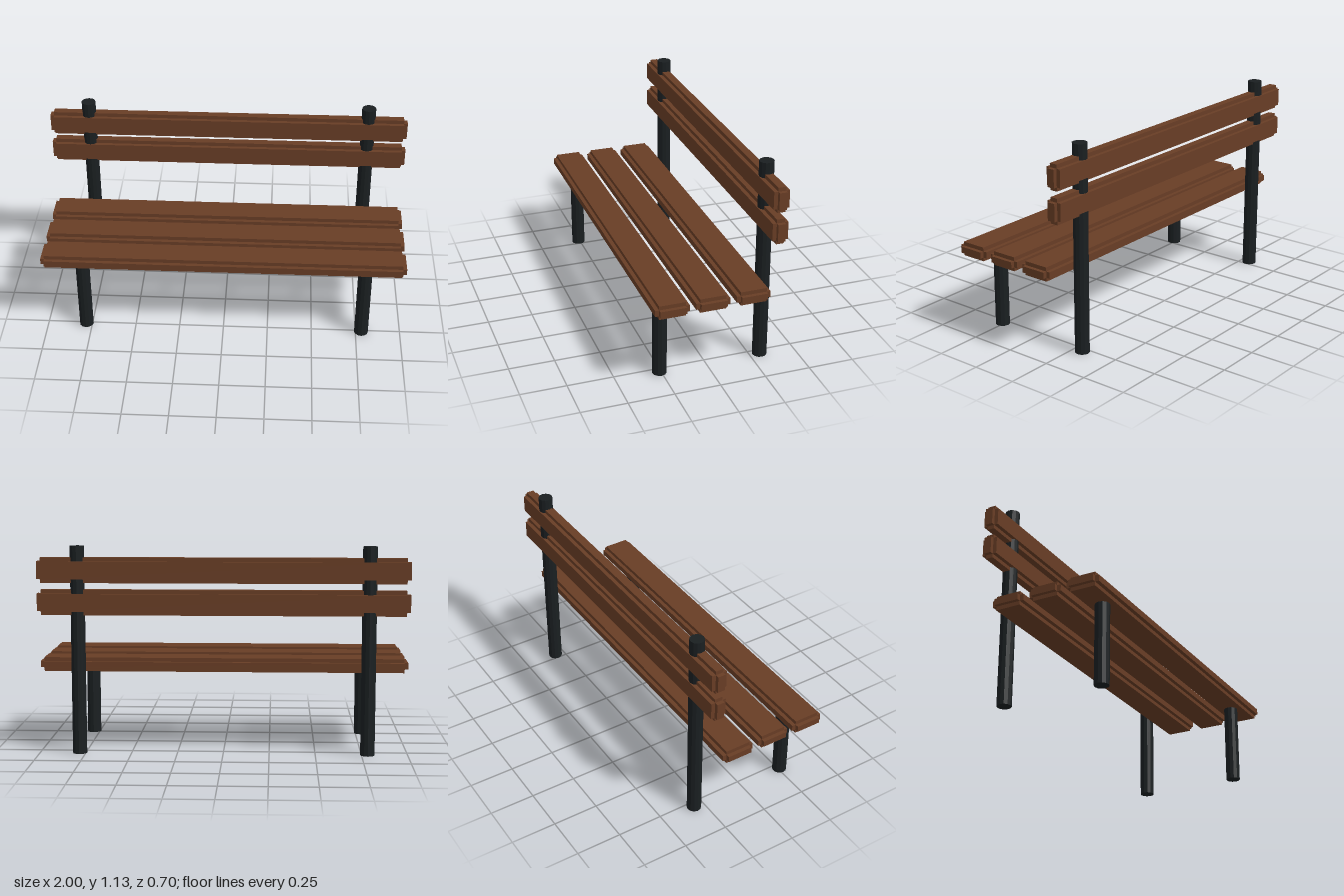
import * as THREE from 'three';

const wood = new THREE.MeshStandardMaterial({ color: 0x683d25, flatShading: true });
const iron = new THREE.MeshStandardMaterial({ color: 0x1a1f21, flatShading: true });

const STEP = 0.021; // depth of the stepped edge on every plank

// Plank with stepped edges: three boxes, each full length along two axes at most
function plank(name, height, depth, y, z) {
  const group = new THREE.Group();
  group.name = name;
  const cores = [
    [2, height - 2 * STEP, depth - 2 * STEP], // end faces
    [2 - 2 * STEP, height, depth - 2 * STEP], // top and bottom faces
    [2 - 2 * STEP, height - 2 * STEP, depth], // front and back faces
  ];
  for (const size of cores) {
    const mesh = new THREE.Mesh(new THREE.BoxGeometry(...size), wood);
    mesh.name = name + 'Board';
    group.add(mesh);
  }
  group.position.set(0, y, z);
  return group;
}

// Round post standing on the ground
function post(name, height, x, z) {
  const mesh = new THREE.Mesh(new THREE.CylinderGeometry(0.039, 0.039, height, 12), iron);
  mesh.name = name;
  mesh.position.set(x, height / 2, z);
  return mesh;
}

export function createModel() {
  const bench = new THREE.Group();
  bench.name = 'bench';

  // Seat: three flat planks
  [0.258, 0.042, -0.176].forEach((z, i) =>
    bench.add(plank('seatPlank' + (i + 1), 0.076, 0.182, 0.479, z)));

  // Backrest: two upright planks
  [0.827, 1.0].forEach((y, i) =>
    bench.add(plank('backPlank' + (i + 1), 0.137, 0.084, y, -0.306)));

  // Short front legs and tall rear posts
  for (const [side, x] of [['left', 0.782], ['right', -0.782]]) {
    bench.add(post(side + 'FrontLeg', 0.48, x, 0.259));
    bench.add(post(side + 'BackPost', 1.13, x, -0.306));
  }
  return bench;
}
